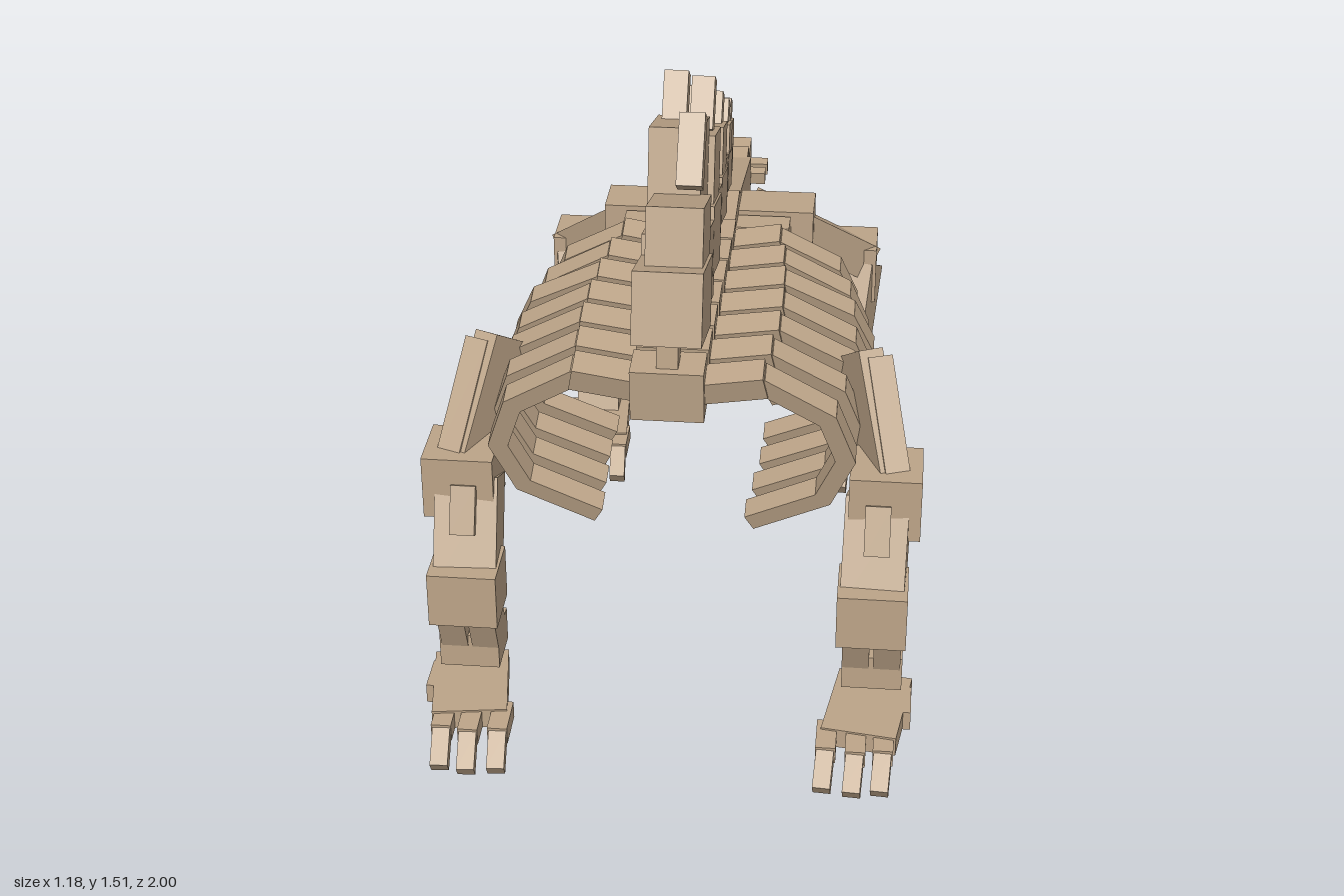
import * as THREE from 'three';

export function createModel() {
  const model = new THREE.Group();
  model.name = 'sailBackedSkeleton';
  const bone = new THREE.MeshStandardMaterial({ color: 0xbca488 });
  bone.name = 'bone';
  let parent = model;

  const part = (name) => {
    parent = new THREE.Group();
    parent.name = name;
    model.add(parent);
  };
  // Box given by centre, size and backward lean
  const box = (name, [x, y, z], [w, h, d], lean = 0) => {
    const m = new THREE.Mesh(new THREE.BoxGeometry(w, h, d), bone);
    m.name = name;
    m.position.set(x, y, z);
    m.rotation.x = -lean;
    parent.add(m);
    return m;
  };
  // Box running between two points; w is its horizontal breadth, h its other thickness
  const beam = (name, a, b, w, h, extra = 0) => {
    const p = new THREE.Vector3(...a), q = new THREE.Vector3(...b);
    const m = new THREE.Mesh(new THREE.BoxGeometry(w, h, p.distanceTo(q) + extra), bone);
    m.name = name;
    m.position.copy(p).add(q).multiplyScalar(0.5);
    m.lookAt(q);
    parent.add(m);
  };

  // Tall back spines: [z, y, depth, height] of base and upper block, then [z, y, height] of knob
  const spines = [
    [[0.62, 1.115, 0.24, 0.17], [0.545, 1.24, 0.19, 0.16], [0.435, 1.4, 0.17]],
    [[0.42, 1.1, 0.26, 0.19], [0.335, 1.305, 0.21, 0.23], [0.22, 1.425, 0.15]],
    [[0.225, 1.09, 0.21, 0.17], [0.175, 1.225, 0.16, 0.21], [0.09, 1.37, 0.13]],
    [[0.06, 1.06, 0.19, 0.13], [0.01, 1.17, 0.14, 0.17], [-0.09, 1.275, 0.12]],
    [[-0.125, 1.03, 0.18, 0.12], [-0.165, 1.135, 0.12, 0.14], [-0.23, 1.21, 0.11]],
    [[-0.29, 0.995, 0.16, 0.11], [-0.335, 1.075, 0.1, 0.1], [-0.39, 1.125, 0.09]],
    [[-0.44, 0.96, 0.13, 0.1], [-0.47, 1.035, 0.09, 0.09], [-0.52, 1.085, 0.08]],
    [[-0.54, 0.925, 0.1, 0.1], [-0.565, 0.985, 0.07, 0.07], [-0.6, 1.035, 0.07]],
    [[-0.63, 0.925, 0.1, 0.12], [-0.655, 0.975, 0.08, 0.07], [-0.69, 1.02, 0.07]],
  ];
  part('backSpines');
  spines.forEach(([b, u, k], i) => {
    const side = i % 2 ? -1 : 1;
    const w = 0.16 - i * 0.011;
    box('spineBase', [side * 0.003, b[1], b[0]], [w, b[3], b[2]], 0.27);
    box('spineUpper', [side * 0.01, u[1], u[0]], [w * 0.82, u[3], u[2]], 0.27);
    box('spineKnob', [side * 0.03 * (1 - i * 0.08), k[1], k[0]], [0.06 - i * 0.002, k[2], 0.055], 0.6);
  });

  // Vertebrae
  part('backbone');
  const ribScale = [[0.94, 1], [0.98, 1], [1.02, 1], [1.02, 1], [1, 0.82], [0.96, 0.92], [0.88, 0.78]];
  const vertebraAt = (i) => [0, 0.918 - i * 0.01, 0.675 - i * 0.139];
  ribScale.forEach((_, i) => {
    const [x, y, z] = vertebraAt(i);
    box('vertebra', [x, y, z], [0.17, 0.13, 0.095], -0.08);
    box('vertebraStem', [x, y + 0.08, z], [0.05, 0.12, 0.06], 0.1);
  });

  // Rib pairs: each a flat chain of boxes, swept backward as a whole
  const ribCurve = [[0.06, 0], [0.23, 0.03], [0.39, -0.07], [0.435, -0.2], [0.38, -0.33], [0.2, -0.42]];
  ribScale.forEach(([kx, ky], i) => {
    part('ribPair');
    const [x, y, z] = vertebraAt(i);
    parent.position.set(x, y, z - 0.01);
    parent.rotation.x = 0.255;
    const pts = ribCurve.slice(0, i < 5 ? 6 : 5).map(([px, py]) => [px * kx, py > 0 ? py : py * ky]);
    for (const s of [-1, 1]) {
      for (let j = 0; j + 1 < pts.length; j++) {
        const [ax, ay] = pts[j], [bx, by] = pts[j + 1];
        const size = [Math.hypot(bx - ax, by - ay) + 0.015, j ? 0.045 : 0.06, j ? 0.058 : 0.07];
        const m = box('rib', [s * (ax + bx) / 2, (ay + by) / 2, 0], size);
        m.rotation.z = Math.atan2(by - ay, s * (bx - ax));
      }
    }
  });

  // Hip bar, tail and its two last vertebrae
  part('tail');
  box('sacralBar', [0, 0.835, -0.305], [0.44, 0.075, 0.075]);
  box('sacrum', [0, 0.85, -0.3], [0.16, 0.12, 0.2], -0.12);
  beam('tailBase', [0, 0.845, -0.38], [0, 0.765, -0.81], 0.16, 0.13);
  for (const [y, z] of [[0.765, -0.835], [0.745, -0.945]]) {
    box('tailVertebra', [0, y, z], [0.14, 0.14, 0.085], -0.14);
    box('tailSideNub', [0, y, z], [0.24, 0.035, 0.035], -0.14);
    box('tailTopNub', [0, y + 0.08, z + 0.005], [0.035, 0.05, 0.035], 0.1);
  }
  box('tailLowerNub', [0, 0.665, -0.96], [0.03, 0.05, 0.03], -0.14);

  // Pubic loop hanging under the hips
  part('pubicLoop');
  const loop = [[-0.42, 0.63], [-0.38, 0.57], [-0.21, 0.505], [-0.03, 0.475],
    [0.03, 0.475], [0.21, 0.505], [0.38, 0.57], [0.42, 0.63]];
  for (let i = 0; i < loop.length - 1; i++) {
    const at = ([x, y]) => [x, y, -0.61 + 0.12 * x * x];
    beam('pubicSegment', at(loop[i]), at(loop[i + 1]), 0.06, 0.06, 0.01);
  }

  // Toes: a straight joint and a claw bent to the ground
  const toes = (xs, z, s) => xs.forEach((x, i) => {
    const dz = i === 1 ? 0.01 : 0;
    beam('toe', [s * x, 0.08, z - 0.1], [s * x, 0.075, z + dz], 0.048, 0.045);
    beam('claw', [s * x, 0.075, z - 0.01 + dz], [s * (x - 0.005), 0.022, z + 0.065 + dz], 0.042, 0.04);
  });

  for (const s of [-1, 1]) {
    const side = s > 0 ? 'left' : 'right';

    part(side + 'FrontLeg');
    beam('shoulderBlade', [s * 0.43, 0.89, 0.42], [s * 0.5, 0.62, 0.58], 0.06, 0.15);
    beam('shoulderRidge', [s * 0.47, 0.9, 0.46], [s * 0.53, 0.64, 0.62], 0.06, 0.06);
    box('shoulderJoint', [s * 0.505, 0.607, 0.59], [0.17, 0.16, 0.16]);
    beam('upperArm', [s * 0.49, 0.6, 0.585], [s * 0.485, 0.36, 0.7], 0.15, 0.14);
    beam('upperArmPlate', [s * 0.49, 0.62, 0.67], [s * 0.49, 0.51, 0.715], 0.06, 0.02);
    box('elbow', [s * 0.485, 0.365, 0.713], [0.165, 0.14, 0.145]);
    for (const x of [0.525, 0.45]) {
      beam('forearm', [s * x, 0.34, 0.715], [s * x, 0.17, 0.645], 0.065, 0.1);
    }
    box('wrist', [s * 0.49, 0.165, 0.64], [0.145, 0.09, 0.125]);
    box('palmHeel', [s * 0.49, 0.095, 0.645], [0.12, 0.08, 0.07]);
    beam('palm', [s * 0.5, 0.08, 0.62], [s * 0.465, 0.08, 0.86], 0.18, 0.05);
    box('outerToe', [s * 0.57, 0.08, 0.72], [0.035, 0.05, 0.1]);
    toes([0.525, 0.46, 0.39], 0.912, s);

    part(side + 'HindLeg');
    box('hipPlate', [s * 0.18, 0.835, -0.42], [0.2, 0.09, 0.13]);
    beam('hipStrut', [s * 0.17, 0.83, -0.43], [s * 0.37, 0.645, -0.61], 0.18, 0.1, 0.03);
    box('hipJoint', [s * 0.365, 0.61, -0.605], [0.17, 0.16, 0.15]);
    beam('ischium', [s * 0.36, 0.6, -0.64], [s * 0.175, 0.5, -0.87], 0.08, 0.09);
    beam('thigh', [s * 0.375, 0.62, -0.6], [s * 0.345, 0.36, -0.475], 0.16, 0.13);
    box('knee', [s * 0.345, 0.36, -0.44], [0.16, 0.12, 0.12], 0.2);
    box('kneecap', [s * 0.35, 0.36, -0.378], [0.09, 0.09, 0.02], 0.2);
    for (const x of [0.385, 0.305]) {
      beam('shank', [s * x, 0.35, -0.43], [s * x, 0.205, -0.65], 0.065, 0.08, 0.02);
    }
    beam('ankle', [s * 0.355, 0.2, -0.63], [s * 0.36, 0.25, -0.76], 0.1, 0.075);
    beam('instep', [s * 0.345, 0.22, -0.68], [s * 0.345, 0.08, -0.625], 0.12, 0.08);
    beam('sole', [s * 0.345, 0.08, -0.66], [s * 0.33, 0.08, -0.46], 0.17, 0.05);
    box('heelPad', [s * 0.345, 0.035, -0.63], [0.06, 0.07, 0.05], -0.2);
    toes([0.375, 0.32, 0.265], -0.415, s);
  }
  return model;
}
